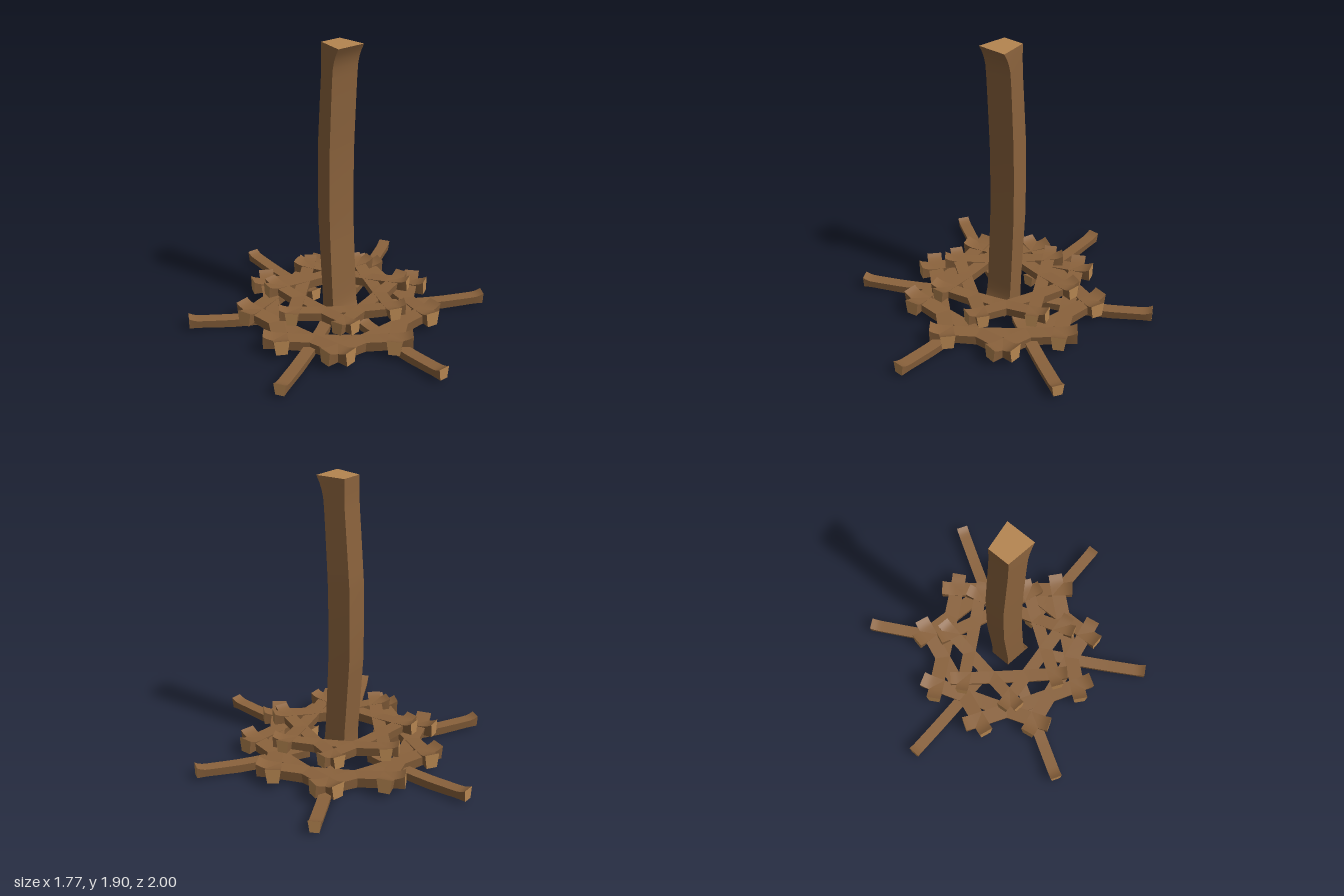
import * as THREE from 'three';

const LENGTH = 1.9;
// Bowed beam profile from the middle to one end: [distance, front z, back z]
const HALF_PROFILE = [
  [0, 0.03, -0.12], [0.25, 0.033, -0.118], [0.36, 0.038, -0.11],
  [0.6, 0.051, -0.092], [0.75, 0.06, -0.08], [0.82, 0.067, -0.077],
  [0.87, 0.08, -0.076], [0.91, 0.097, -0.076], [0.95, 0.12, -0.076],
];
const FRONT_HALF_WIDTH = 0.1;
const BACK_HALF_WIDTH = 0.073;

// Upright beam centred on its length, wide concave side facing +z.
// Group 0 is the bark on the four sides, group 1 the cut ends.
function beamGeometry() {
  const lower = HALF_PROFILE.slice(1).reverse().map(([y, f, b]) => [-y, f, b]);
  const rings = [...lower, ...HALF_PROFILE].map(([y, f, b]) => [
    [-FRONT_HALF_WIDTH, y, f], [FRONT_HALF_WIDTH, y, f],
    [BACK_HALF_WIDTH, y, b], [-BACK_HALF_WIDTH, y, b],
  ]);
  const positions = [];
  const index = [];

  // Each side is its own strip: smooth along the length, sharp at the corners
  for (let side = 0; side < 4; side++) {
    const start = positions.length / 3;
    rings.forEach((ring) => positions.push(...ring[side], ...ring[(side + 1) % 4]));
    for (let i = 0; i < rings.length - 1; i++) {
      const a = start + i * 2;
      index.push(a, a + 1, a + 3, a, a + 3, a + 2);
    }
  }
  const barkCount = index.length;

  // Cut ends
  for (const ring of [rings[rings.length - 1], [...rings[0]].reverse()]) {
    const s = positions.length / 3;
    ring.forEach((corner) => positions.push(...corner));
    index.push(s, s + 1, s + 2, s, s + 2, s + 3);
  }

  const geometry = new THREE.BufferGeometry();
  geometry.setAttribute('position', new THREE.Float32BufferAttribute(positions, 3));
  geometry.setIndex(index);
  geometry.addGroup(0, barkCount, 0);
  geometry.addGroup(barkCount, index.length - barkCount, 1);
  geometry.computeVertexNormals();
  return geometry;
}

export function createModel() {
  const bark = new THREE.MeshStandardMaterial({ color: 0x8a623c });
  bark.name = 'bark brown';
  const cutWood = new THREE.MeshStandardMaterial({ color: 0xb58550 });
  cutWood.name = 'cut wood';
  const materials = [bark, cutWood];

  const model = new THREE.Group();
  model.name = 'logPile';

  // Central post
  const upright = beamGeometry();
  const post = new THREE.Mesh(upright, materials);
  post.name = 'centralPost';
  post.position.y = LENGTH / 2;
  model.add(post);

  // Lying beams, concave side up
  const radial = upright.clone().rotateX(-Math.PI / 2);
  const tangent = radial.clone().rotateY(Math.PI / 2);

  function ringOfBeams(name, geometry, { count, scale, radius, y, turn = 0 }) {
    const ring = new THREE.Group();
    ring.name = name + 'Ring';
    for (let i = 0; i < count; i++) {
      const angle = turn + (i / count) * Math.PI * 2;
      const beam = new THREE.Mesh(geometry, materials);
      beam.name = name + (i + 1);
      beam.scale.setScalar(scale);
      beam.rotation.y = angle;
      beam.position.set(Math.sin(angle) * radius, y, Math.cos(angle) * radius);
      ring.add(beam);
    }
    model.add(ring);
  }

  ringOfBeams('spokeLog', radial, { count: 6, scale: 0.4, radius: 0.62, y: 0.048 });
  ringOfBeams('lowerLog', tangent, { count: 9, scale: 0.5, radius: 0.44, y: 0.077 });
  ringOfBeams('upperLog', tangent, {
    count: 7, scale: 0.43, radius: 0.25, y: 0.183, turn: THREE.MathUtils.degToRad(17.4),
  });

  return model;
}
